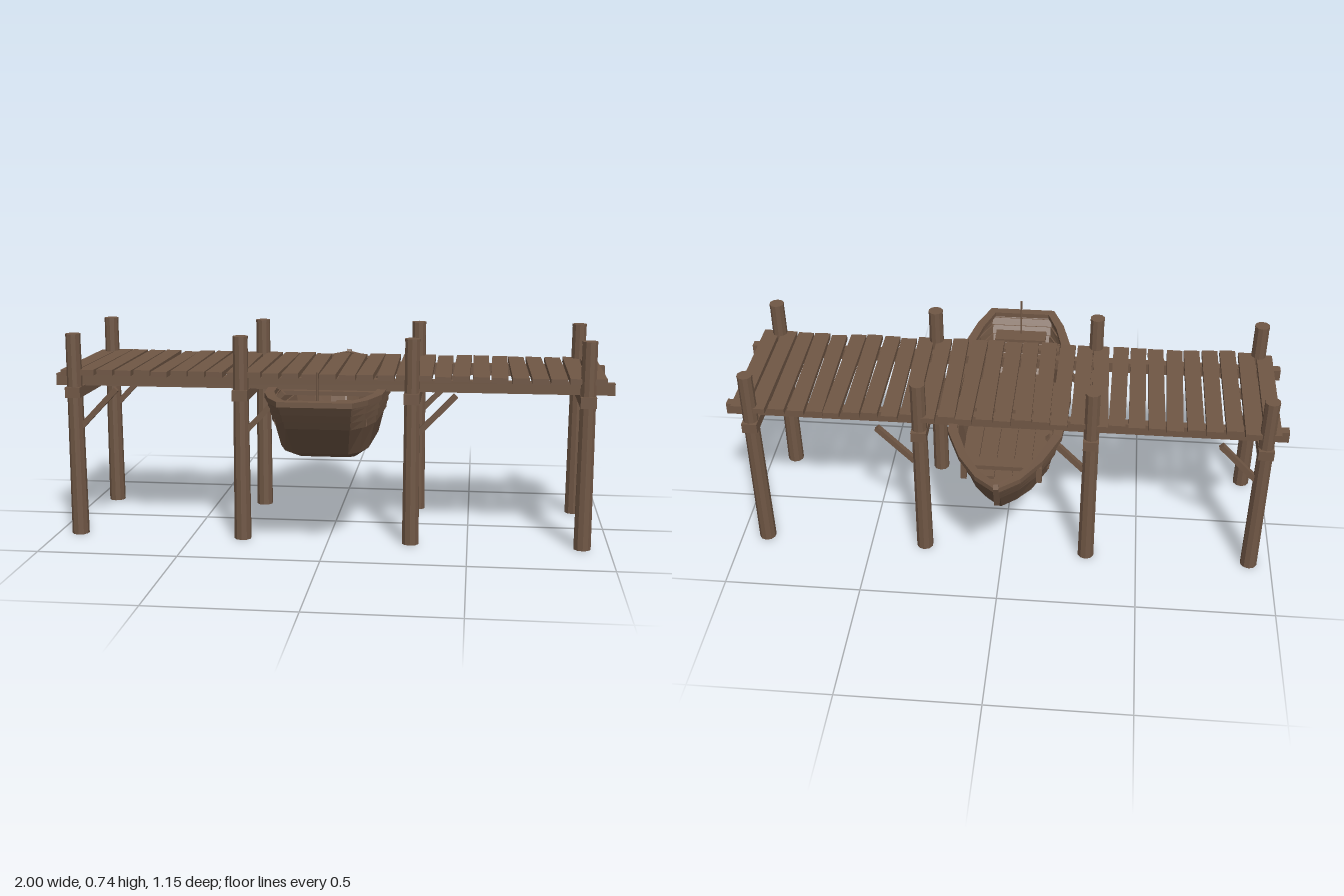
import * as THREE from 'three';

const wood = new THREE.MeshStandardMaterial({ color: 0x705745, side: THREE.DoubleSide });
wood.name = 'weathered wood';

function add(parent, geometry, name, x = 0, y = 0, z = 0) {
  const g = geometry.index ? geometry.toNonIndexed() : geometry;
  g.computeVertexNormals();
  const mesh = new THREE.Mesh(g, wood);
  mesh.name = name;
  mesh.position.set(x, y, z);
  parent.add(mesh);
  return mesh;
}
const box = (parent, name, w, h, d, x, y, z) =>
  add(parent, new THREE.BoxGeometry(w, h, d), name, x, y, z);

function seeded(seed) {
  return () => (seed = (seed * 16807) % 2147483647) / 2147483647 - 0.5;
}

// Skin between closed rings of points, with an optional cap on the first ring
function loft(rings, cap = false) {
  const pos = [];
  const tri = (...pts) => pts.forEach((p) => pos.push(...p));
  const n = rings[0].length;
  for (let r = 0; r < rings.length - 1; r++) {
    for (let i = 0; i < n; i++) {
      const j = (i + 1) % n;
      const a = rings[r][i], b = rings[r][j], c = rings[r + 1][j], d = rings[r + 1][i];
      tri(a, b, c);
      tri(a, c, d);
    }
  }
  if (cap) {
    for (let i = 0; i < n / 2 - 1; i++) {
      const a = rings[0][i], b = rings[0][i + 1], c = rings[0][n - 2 - i], d = rings[0][n - 1 - i];
      tri(a, c, b);
      tri(a, d, c);
    }
  }
  const g = new THREE.BufferGeometry();
  g.setAttribute('position', new THREE.Float32BufferAttribute(pos, 3));
  return g;
}

// Boat lines from stern to bow: [half width, y, z]
const bottom = [[0.085, 0.315, 0.27], [0.105, 0.315, 0.25], [0.115, 0.315, 0.19], [0.122, 0.315, 0],
  [0.105, 0.315, -0.14], [0.068, 0.315, -0.2], [0.035, 0.315, -0.23], [0.003, 0.315, -0.25]];
const chine = [[0.095, 0.355, 0.4], [0.13, 0.355, 0.36], [0.156, 0.355, 0.28], [0.168, 0.355, 0],
  [0.15, 0.355, -0.19], [0.1, 0.355, -0.3], [0.052, 0.355, -0.36], [0.004, 0.355, -0.4]];
const sheer = [[0.122, 0.563, 0.57], [0.165, 0.557, 0.47], [0.2, 0.551, 0.33], [0.216, 0.545, 0],
  [0.195, 0.549, -0.24], [0.14, 0.556, -0.39], [0.075, 0.562, -0.5], [0.006, 0.568, -0.565]];

const mix = (A, B, t) => A.map((p, i) => p.map((v, k) => v + (B[i][k] - v) * t));
// Full outline of one level, scaled outward and lifted
function ring(line, scale = 1, lift = 0, zScale = scale) {
  const side = line.map(([x, y, z]) => [x * scale, y + lift, z * zScale]);
  return [...side, ...side.map(([x, y, z]) => [-x, y, z]).reverse()];
}

function createBoat() {
  const boat = new THREE.Group();
  boat.name = 'rowing boat';
  boat.position.x = -0.008;

  // Smooth lower hull, then overlapping strakes
  const rings = [ring(bottom), ring(chine)];
  const laps = [0.5, 0.64, 0.77, 0.88];
  laps.forEach((t) => {
    const line = mix(chine, sheer, t);
    rings.push(ring(line, 1, 0, 1), ring(line, 1.03, 0, 1.008));
  });
  rings.push(ring(sheer));
  add(boat, loft(rings, true), 'hull');

  // Rim around the top edge
  add(boat, loft([ring(sheer, 1.03, -0.014, 1.008), ring(sheer, 1.03, 0.004, 1.008),
    ring(sheer, 0.87, 0.004, 0.95), ring(sheer, 0.87, -0.014, 0.95),
    ring(sheer, 1.03, -0.014, 1.008)]), 'gunwale');

  // Floorboards
  for (let i = -2; i <= 2; i++) {
    const back = 0.41 - 0.05 * Math.abs(i), front = -0.37 + 0.075 * Math.abs(i);
    box(boat, 'floorboard', 0.06, 0.012, back - front, i * 0.064, 0.395, (back + front) / 2);
  }
  // Seats
  box(boat, 'sternSeat', 0.2, 0.014, 0.07, 0, 0.5, 0.475);
  box(boat, 'aftThwart', 0.32, 0.016, 0.04, 0, 0.51, 0.375);
  box(boat, 'middleThwart', 0.39, 0.016, 0.07, 0, 0.5, 0);
  box(boat, 'bowThwart', 0.28, 0.016, 0.05, 0, 0.515, -0.365);
  // Side cleats
  for (const s of [-1, 1]) {
    box(boat, 'aftCleat', 0.02, 0.065, 0.01, s * 0.15, 0.488, 0.4);
    box(boat, 'bowCleat', 0.02, 0.085, 0.018, s * 0.131, 0.498, -0.375);
  }
  // Raked stem at the bow and a thin pole at the stern
  box(boat, 'stem', 0.018, 0.11, 0.02, 0, 0.527, -0.549).rotation.x = -0.38;
  add(boat, new THREE.CylinderGeometry(0.004, 0.004, 0.15, 6), 'pole', 0, 0.58, 0.49);
  return boat;
}

export function createModel() {
  const model = new THREE.Group();
  model.name = 'dock with boat';
  const rand = seeded(77);
  const postX = [-0.92, -0.312, 0.297, 0.905];
  const postZ = [0.254, -0.23];

  postX.forEach((x, i) => {
    postZ.forEach((z) => {
      // Piling with a thin cap
      add(model, new THREE.CylinderGeometry(0.0265, 0.031, 0.732, 10), 'piling', x, 0.366, z);
      add(model, new THREE.CylinderGeometry(0.0275, 0.0275, 0.009, 10), 'pilingCap', x, 0.7355, z);
      // Diagonal brace
      if (i < 3) box(model, 'brace', 0.19, 0.02, 0.02, x + 0.088, 0.473, z).rotation.z = 0.81;
    });
    box(model, 'crossBeam', 0.055, 0.038, 0.55, x, 0.53, 0.012);
  });

  // Long beams under the deck
  for (const z of [0.203, -0.182]) box(model, 'stringer', 2, 0.042, 0.032, 0, 0.567, z);

  // Slightly uneven deck planks
  const count = 29;
  for (let i = 0; i < count; i++) {
    const x = -0.94 + (1.88 * i) / (count - 1);
    const plank = box(model, 'deckPlank', 0.058, 0.02, 0.51 + rand() * 0.015,
      x, 0.6 + rand() * 0.006, 0.01 + rand() * 0.012);
    plank.rotation.y = rand() * 0.03;
    plank.rotation.z = rand() * 0.03;
  }

  model.add(createBoat());
  return model;
}
